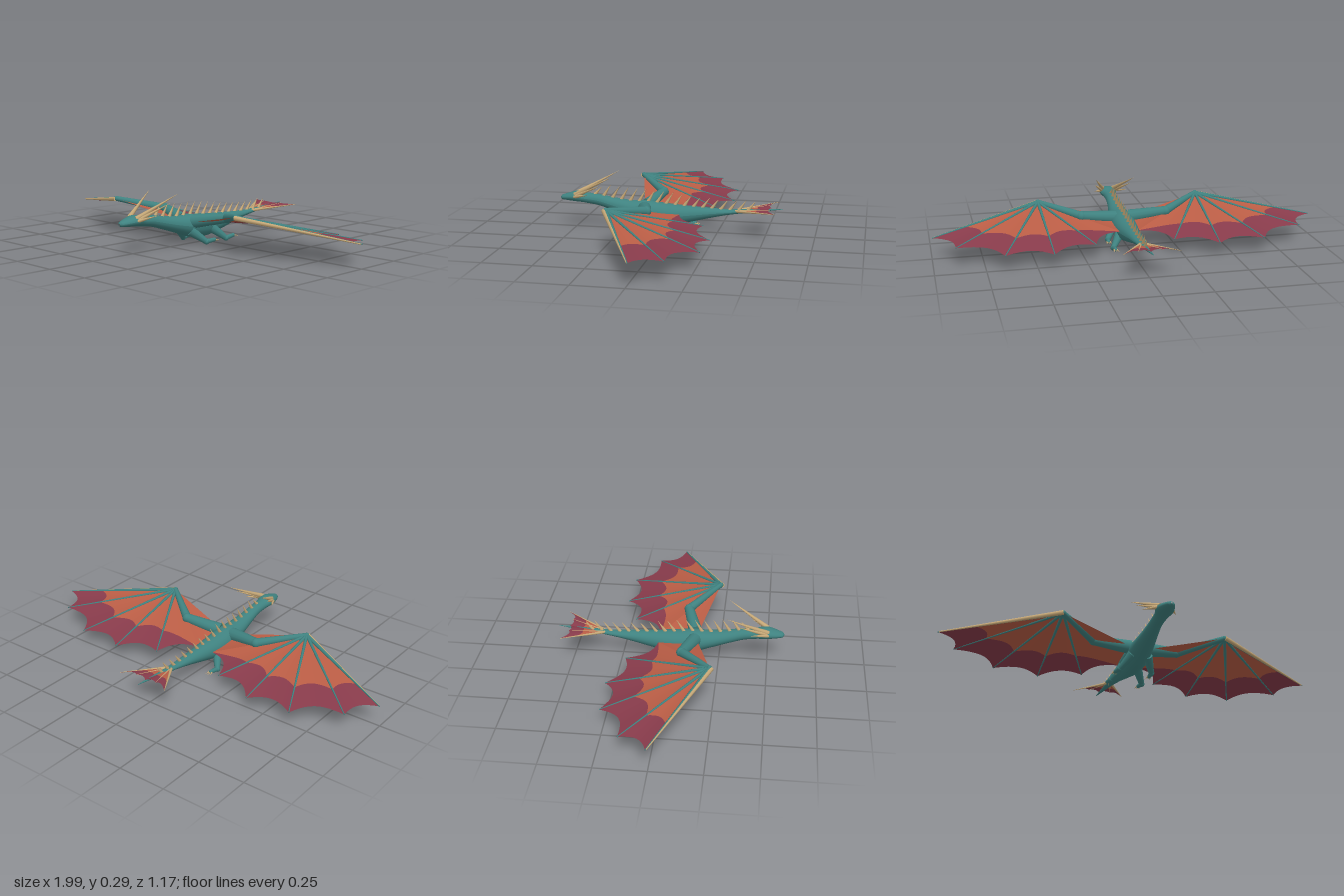
import * as THREE from 'three';

const V = (x, y, z) => new THREE.Vector3(x, y, z);
const material = (name, color, side = THREE.FrontSide) => {
  const m = new THREE.MeshStandardMaterial({ color, side });
  m.name = name;
  return m;
};

export function createModel() {
  const skin = material('teal skin', 0x3f8280);
  const bone = material('bone', 0xc6a877);
  const inner = material('orange membrane', 0xba5d45, THREE.DoubleSide);
  const outer = material('maroon membrane', 0x883b4b, THREE.DoubleSide);
  const dragon = new THREE.Group();
  dragon.name = 'dragon';

  const add = (parent, name, geo, mat) => {
    const mesh = new THREE.Mesh(geo, mat);
    mesh.name = name;
    parent.add(mesh);
    return mesh;
  };

  // Tapered rod between two points
  const rod = (parent, name, a, b, ra, rb, mat, sides = 10) => {
    const d = b.clone().sub(a);
    const mesh = add(parent, name, new THREE.CylinderGeometry(rb, ra, d.length(), sides), mat);
    mesh.position.copy(a).addScaledVector(d, 0.5);
    mesh.quaternion.setFromUnitVectors(V(0, 1, 0), d.normalize());
    return mesh;
  };
  const joint = (parent, name, p, r) =>
    add(parent, name, new THREE.SphereGeometry(r, 12, 8), skin).position.copy(p);

  // Grid surface from a point rule
  const grid = (rule, nu, nv) => {
    const pos = [], idx = [];
    for (let i = 0; i <= nu; i++) for (let j = 0; j <= nv; j++) pos.push(...rule(i / nu, j / nv).toArray());
    for (let i = 0; i < nu; i++) for (let j = 0; j < nv; j++) {
      const a = i * (nv + 1) + j, b = a + nv + 1;
      idx.push(a, b, a + 1, b, b + 1, a + 1);
    }
    const g = new THREE.BufferGeometry();
    g.setAttribute('position', new THREE.Float32BufferAttribute(pos, 3));
    g.setIndex(idx);
    g.computeVertexNormals();
    return g;
  };

  // Scalloped membrane fanned from an apex; each tip is [x, y, z, colour split]
  const fan = (parent, name, apex, tips, scallop, billow) => {
    for (let k = 0; k < tips.length - 1; k++) {
      const [A, B] = [tips[k], tips[k + 1]];
      const a = V(A[0], A[1], A[2]), b = V(B[0], B[1], B[2]);
      const point = (u, r) => {
        const edge = a.clone().lerp(b, u).lerp(apex, scallop[k] * 4 * u * (1 - u));
        const p = apex.clone().lerp(edge, r);
        p.y += billow * r * Math.sin(Math.PI * u);
        return p;
      };
      const split = u => A[3] + (B[3] - A[3]) * u;
      add(parent, name + 'Inner', grid((u, v) => point(u, v * split(u)), 8, 5), inner);
      if (A[3] < 1 || B[3] < 1)
        add(parent, name + 'Edge', grid((u, v) => point(u, split(u) + v * (1 - split(u))), 8, 3), outer);
    }
  };

  // Body from nose to tail tip: z, centre height, half width, half height
  const sections = [
    [0.583, 0.156, 0.004, 0.004], [0.575, 0.156, 0.018, 0.012], [0.54, 0.16, 0.034, 0.02],
    [0.49, 0.164, 0.046, 0.028], [0.44, 0.157, 0.034, 0.027], [0.38, 0.15, 0.032, 0.029],
    [0.3, 0.131, 0.039, 0.034], [0.2, 0.109, 0.053, 0.045], [0.1, 0.094, 0.064, 0.061],
    [0, 0.088, 0.06, 0.057], [-0.1, 0.095, 0.046, 0.043], [-0.2, 0.105, 0.033, 0.028],
    [-0.3, 0.114, 0.023, 0.015], [-0.4, 0.124, 0.015, 0.009], [-0.5, 0.134, 0.008, 0.006],
    [-0.585, 0.142, 0.001, 0.001],
  ];
  const spine = new THREE.CatmullRomCurve3(sections.map(s => V(0, s[1], s[0])));
  const girth = new THREE.CatmullRomCurve3(sections.map(s => V(s[2], s[3], 0)));
  add(dragon, 'body', grid((u, v) => {
    const c = spine.getPoint(u), g = girth.getPoint(u), a = v * Math.PI * 2;
    return V(Math.cos(a) * g.x, c.y + Math.sin(a) * g.y, c.z);
  }, 60, 24), skin);
  const backHeight = z => {
    const k = sections.findIndex(s => s[0] <= z);
    const [p, q] = [sections[k - 1], sections[k]];
    const t = (p[0] - z) / (p[0] - q[0]);
    return (p[1] + p[3]) * (1 - t) + (q[1] + q[3]) * t;
  };

  // Row of swept spines along the back
  for (let i = 0; i < 18; i++) {
    const z = 0.4 - i * 0.0475, y = backHeight(z) - 0.006;
    const h = i === 0 ? 0.045 : i === 17 ? 0.05 : 0.062 + 0.008 * Math.sin(i * 0.35);
    rod(dragon, 'backSpine', V(0, y, z), V(0, y + h, z - 0.04), 0.01, 0, bone, 6);
  }

  for (const s of [1, -1]) {
    const side = new THREE.Group();
    side.name = s > 0 ? 'leftSide' : 'rightSide';
    dragon.add(side);
    const P = (x, y, z) => V(s * x, y, z);

    // Horns
    rod(side, 'mainHorn', P(0.026, 0.176, 0.5), P(0.105, 0.288, 0.29), 0.013, 0, bone, 8);
    rod(side, 'sideHorn', P(0.035, 0.172, 0.49), P(0.103, 0.245, 0.345), 0.011, 0, bone, 8);
    rod(side, 'cheekHorn', P(0.036, 0.166, 0.5), P(0.09, 0.19, 0.41), 0.01, 0, bone, 8);

    // Wing arm
    const shoulder = P(0.04, 0.122, 0.125), elbow = P(0.225, 0.155, 0.075), wrist = P(0.43, 0.2, 0.23);
    rod(side, 'upperArm', shoulder, elbow, 0.036, 0.025, skin, 12);
    joint(side, 'elbow', elbow, 0.026);
    rod(side, 'forearm', elbow, wrist, 0.024, 0.013, skin, 12);
    joint(side, 'wrist', wrist, 0.014);

    // Wing membrane and finger bones
    const tips = [
      [0.995, 0.115, -0.01, 0.7], [0.89, 0.1, -0.15, 0.7], [0.66, 0.083, -0.27, 0.69],
      [0.42, 0.076, -0.28, 0.67], [0.2, 0.088, -0.21, 0.68], [0.045, 0.1, -0.06, 1], [0.045, 0.118, 0.14, 1],
    ].map(t => [s * t[0], t[1], t[2], t[3]]);
    fan(side, 'wingMembrane', wrist, tips, [0.07, 0.1, 0.1, 0.1, 0.09, 0], -0.006);
    tips.slice(0, 5).forEach((t, i) =>
      rod(side, 'wingFinger', wrist, V(t[0], t[1], t[2]), i ? 0.009 : 0.011, 0.0025, skin, 8));
    rod(side, 'leadingEdge', P(0.43, 0.198, 0.239), P(0.99, 0.115, -0.006), 0.012, 0.003, bone, 8);

    // Legs with clawed feet: hip, ankle, toe
    for (const [name, hip, ankle, toe] of [
      ['frontLeg', [0.04, 0.075, 0.145], [0.085, 0.017, 0.078], [0.092, 0.022, 0.025]],
      ['hindLeg', [0.038, 0.075, -0.005], [0.085, 0.017, -0.067], [0.085, 0.026, -0.12]],
    ]) {
      const a = P(...hip), b = P(...ankle), c = P(...toe);
      rod(side, name, a, b, 0.026, 0.014, skin);
      joint(side, name + 'Ankle', b, 0.015);
      rod(side, name + 'Foot', b, c, 0.013, 0.01, skin);
      joint(side, name + 'Toe', c, 0.01);
      for (const k of [-1, 0, 1])
        rod(side, name + 'Claw', c.clone().add(V(k * 0.006, 0, 0)),
          c.clone().add(V(k * 0.014, -0.006, -0.028)), 0.005, 0, bone, 6);
    }

    // Half of the tail fin
    const root = V(0, 0.12, -0.33);
    const finTips = [[0.14, 0.146, -0.555, 0.66], [0.06, 0.148, -0.525, 0.66], [0, 0.143, -0.53, 0.66]]
      .map(t => [s * t[0], t[1], t[2], t[3]]);
    fan(side, 'tailFin', root, finTips, [0.1, 0.06], 0.004);
    rod(side, 'tailFinRib', root, P(0.14, 0.146, -0.555), 0.008, 0.001, bone, 8);
    rod(side, 'tailFinRib', root, P(0.06, 0.148, -0.525), 0.005, 0.001, bone, 8);
  }
  return dragon;
}
